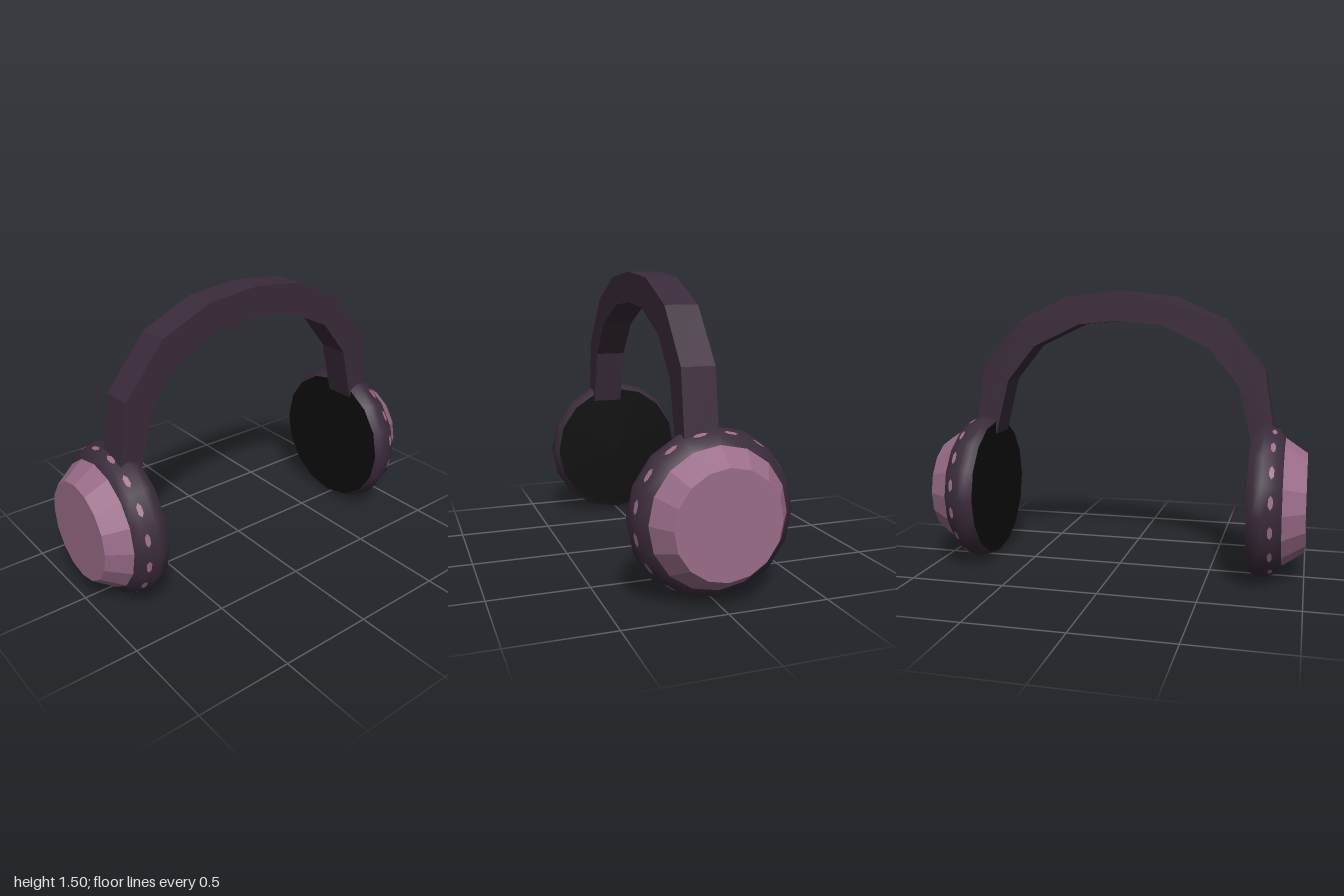
import * as THREE from 'three';

const SIDES = 16;

export function createModel() {
  const charcoal = new THREE.MeshStandardMaterial({ color: 0x3a2b3a });
  charcoal.name = 'charcoal plum';
  const pink = new THREE.MeshStandardMaterial({ color: 0x9a6c88 });
  pink.name = 'dusty pink';
  const black = new THREE.MeshStandardMaterial({ color: 0x0d0d0d });
  black.name = 'pad black';

  const model = new THREE.Group();
  model.name = 'headphones';
  const add = (parent, name, geometry, material) => {
    const mesh = new THREE.Mesh(geometry, material);
    mesh.name = name;
    parent.add(mesh);
    return mesh;
  };

  // Headband: faceted arch, half outline mirrored across x = 0
  const outer = [[0.83, 0.72], [0.775, 1.08], [0.56, 1.345], [0.285, 1.47], [0, 1.5]];
  const inner = [[0.71, 0.71], [0.635, 1.01], [0.48, 1.2], [0.225, 1.32], [0, 1.34]];
  const arch = (half) => [...half, ...half.slice(0, -1).reverse().map(([x, y]) => [-x, y])];
  const outline = [...arch(outer), ...arch(inner).reverse()];
  const bandShape = new THREE.Shape(outline.map(([x, y]) => new THREE.Vector2(x, y)));
  const band = new THREE.ExtrudeGeometry(bandShape, { depth: 0.167, bevelEnabled: false });
  band.translate(0, 0, -0.02);
  add(model, 'headband', band, charcoal);

  // Ear cup on the +x side, turned half round for the other side
  function earCup(name) {
    const cup = new THREE.Group();
    cup.name = name;
    cup.position.y = 0.405;

    // Padded cushion ring: radius and distance along x
    const profile = [[0.375, 0.715], [0.395, 0.745], [0.405, 0.785], [0.38, 0.855], [0.335, 0.888]];
    const ring = new THREE.LatheGeometry(profile.map(([r, x]) => new THREE.Vector2(r, x)), SIDES);
    ring.rotateZ(-Math.PI / 2);
    add(cup, 'cushionRing', ring, charcoal);

    // Flat inner pad
    const pad = new THREE.CircleGeometry(0.375, SIDES);
    pad.rotateY(-Math.PI / 2);
    pad.translate(0.715, 0, 0);
    add(cup, 'innerPad', pad, black);

    // Tapered outer shell
    const shell = new THREE.CylinderGeometry(0.26, 0.345, 0.125, SIDES).toNonIndexed();
    shell.computeVertexNormals();
    shell.rotateZ(-Math.PI / 2);
    shell.translate(0.9375, 0, 0);
    add(cup, 'outerShell', shell, pink);

    // Small inlays, one on the middle of each ring facet
    const inlay = new THREE.CircleGeometry(0.036, 6, Math.PI / 2);
    inlay.scale(0.4, 1, 1);
    inlay.rotateY(Math.atan2(0.025, 0.07));
    inlay.translate(0.832, 0, 0.3835);
    for (let i = 0; i < SIDES; i++) {
      add(cup, 'ringInlay', inlay, pink).rotation.x = ((i + 0.5) * 2 * Math.PI) / SIDES;
    }
    model.add(cup);
    return cup;
  }
  earCup('leftEarCup');
  earCup('rightEarCup').rotation.y = Math.PI;

  return model;
}
